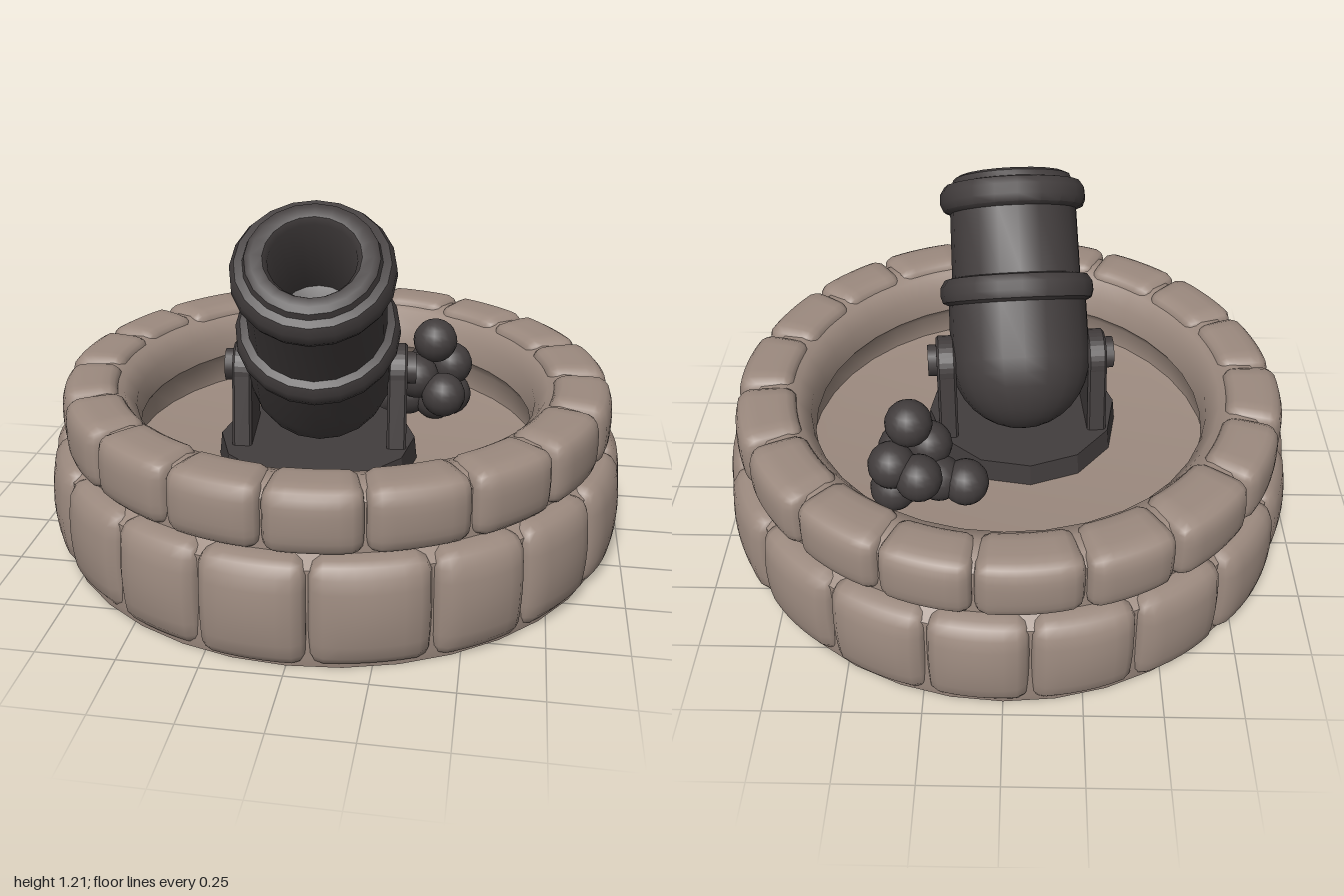
import * as THREE from 'three';
import { mergeVertices, toCreasedNormals } from 'three/addons/utils/BufferGeometryUtils.js';

const stoneMat = new THREE.MeshStandardMaterial({ color: 0x9c8a7f });
stoneMat.name = 'weathered stone';
const ironMat = new THREE.MeshStandardMaterial({ color: 0x423d3d });
ironMat.name = 'dark iron';

const v2 = (pts) => pts.map(([x, y]) => new THREE.Vector2(x, y));

function add(parent, name, geometry, material, x = 0, y = 0, z = 0) {
  const mesh = new THREE.Mesh(geometry, material);
  mesh.name = name;
  mesh.position.set(x, y, z);
  parent.add(mesh);
  return mesh;
}

// Small repeatable variation in -1..1
let seed = 7;
function vary() {
  seed = (seed * 16807) % 2147483647;
  return (seed / 2147483647) * 2 - 1;
}

// A rounded block bent round the y axis, bulging on its outer face
function stoneGeometry(a0, a1, rIn, rOut, y0, y1, bulge) {
  const rMid = (rIn + rOut) / 2;
  const size = new THREE.Vector3((a1 - a0) * rOut, y1 - y0, rOut - rIn);
  const geo = new THREE.BoxGeometry(size.x, size.y, size.z, 8, 8, 6);
  geo.deleteAttribute('uv');
  geo.deleteAttribute('normal');
  const pos = geo.attributes.position;
  const p = new THREE.Vector3(), core = new THREE.Vector3();
  const round = 0.048;
  const inner = size.clone().multiplyScalar(0.5).subScalar(round);
  const low = inner.clone().negate();
  for (let i = 0; i < pos.count; i++) {
    p.fromBufferAttribute(pos, i);
    core.copy(p).clamp(low, inner);
    p.sub(core);
    if (p.lengthSq() > 0) p.setLength(round);
    p.add(core);
    const u = (2 * p.x) / size.x, v = (2 * p.y) / size.y;
    const swell = p.z > 0 ? bulge * (1 - 0.5 * u * u) * (1 - v * v) : 0;
    const angle = (a0 + a1) / 2 + p.x / rOut;
    const r = rMid + p.z + swell;
    pos.setXYZ(i, Math.sin(angle) * r, (y0 + y1) / 2 + p.y, Math.cos(angle) * r);
  }
  const smooth = mergeVertices(geo, 1e-5);
  smooth.computeVertexNormals();
  return smooth;
}

// One course of stones with slightly uneven joints
function stoneCourse(name, count, offset, rIn, rOut, y0, y1, bulge) {
  const course = new THREE.Group();
  course.name = name;
  const joints = [];
  for (let i = 0; i < count; i++) {
    joints.push(THREE.MathUtils.degToRad(offset + (i * 360) / count + vary() * 1.2));
  }
  joints.push(joints[0] + Math.PI * 2);
  for (let i = 0; i < count; i++) {
    const geo = stoneGeometry(joints[i] + 0.001, joints[i + 1] - 0.001,
      rIn + vary() * 0.01, rOut + vary() * 0.008, y0, y1, bulge);
    add(course, 'stone', geo, stoneMat);
  }
  return course;
}

export function createModel() {
  const model = new THREE.Group();
  model.name = 'mortarEmplacement';

  // Solid core: underside, mortar behind the stones, inner wall and floor
  const coreProfile = v2([
    [0, 0], [0.95, 0], [0.955, 0.03], [0.945, 0.32], [0.9, 0.35], [0.895, 0.51],
    [0.86, 0.54], [0.79, 0.545], [0.73, 0.525], [0.69, 0.47], [0.68, 0.39],
    [0.71, 0.35], [0.71, 0.27], [0.66, 0.26], [0, 0.26],
  ]);
  add(model, 'wallCoreAndFloor',
    toCreasedNormals(new THREE.LatheGeometry(coreProfile, 36), 0.7), stoneMat);

  // Two staggered courses of stone
  model.add(stoneCourse('lowerStones', 18, 5, 0.78, 0.967, 0.005, 0.352, 0.028));
  model.add(stoneCourse('upperStones', 18, -5, 0.74, 0.927, 0.345, 0.562, 0.014));

  // Mortar on its carriage, turned slightly to its left
  const mortar = new THREE.Group();
  mortar.name = 'mortar';
  mortar.position.set(-0.04, 0, 0.07);
  mortar.rotation.y = 0.1;
  model.add(mortar);

  add(mortar, 'carriageBase',
    toCreasedNormals(new THREE.CylinderGeometry(0.335, 0.345, 0.09, 12), 0.4),
    ironMat, -0.01, 0.295, 0.03);

  // Cheeks with rounded tops and the trunnion running through them
  const cheek = new THREE.Shape();
  cheek.moveTo(-0.13, 0.32);
  cheek.lineTo(0.13, 0.32);
  cheek.lineTo(0.085, 0.57);
  cheek.absarc(0, 0.575, 0.085, 0, Math.PI, false);
  cheek.lineTo(-0.13, 0.32);
  const cheekGeo = new THREE.ExtrudeGeometry(cheek, {
    depth: 0.05, bevelEnabled: true, bevelSize: 0.008, bevelThickness: 0.008,
    bevelSegments: 1, curveSegments: 8,
  });
  cheekGeo.translate(0, 0, -0.025);
  cheekGeo.rotateY(Math.PI / 2);
  for (const side of [1, -1]) {
    add(mortar, 'carriageCheek', cheekGeo, ironMat, side * 0.262, 0, 0);
  }
  const trunnion = add(mortar, 'trunnion',
    toCreasedNormals(new THREE.CylinderGeometry(0.055, 0.055, 0.65, 14), 0.6), ironMat, 0, 0.585, 0);
  trunnion.rotation.z = Math.PI / 2;

  // Barrel profile: round breech, reinforcing band, muzzle moulding, hollow bore
  const breech = [];
  for (let i = 0; i <= 8; i++) {
    const a = (i / 8) * (Math.PI / 2);
    breech.push([Math.sin(a) * 0.245, -Math.cos(a) * 0.25]);
  }
  const barrelProfile = v2([
    ...breech, [0.242, 0.19], [0.262, 0.2], [0.27, 0.225], [0.268, 0.255], [0.252, 0.28],
    [0.226, 0.285], [0.222, 0.51], [0.245, 0.52], [0.256, 0.545], [0.254, 0.58],
    [0.238, 0.605], [0.212, 0.61], [0.205, 0.63], [0.185, 0.64], [0.15, 0.635],
    [0.136, 0.615], [0.13, 0.3], [0, 0.26],
  ]);
  const barrel = add(mortar, 'barrel',
    toCreasedNormals(new THREE.LatheGeometry(barrelProfile, 20), 0.75), ironMat, 0, 0.58, 0);
  barrel.rotation.x = THREE.MathUtils.degToRad(36.5);

  // Loose pile of shot
  const pile = new THREE.Group();
  pile.name = 'shotPile';
  model.add(pile);
  const ball = new THREE.SphereGeometry(0.08, 16, 12);
  const places = [
    [0.14, 0.335, -0.31], [0.23, 0.345, -0.3], [0.29, 0.42, -0.385], [0.38, 0.45, -0.355],
    [0.325, 0.567, -0.28], [0.365, 0.39, -0.195], [0.265, 0.44, -0.235],
    [0.33, 0.335, -0.29], [0.38, 0.335, -0.34],
  ];
  for (const [x, y, z] of places) add(pile, 'shot', ball, ironMat, x, y, z);

  return model;
}
